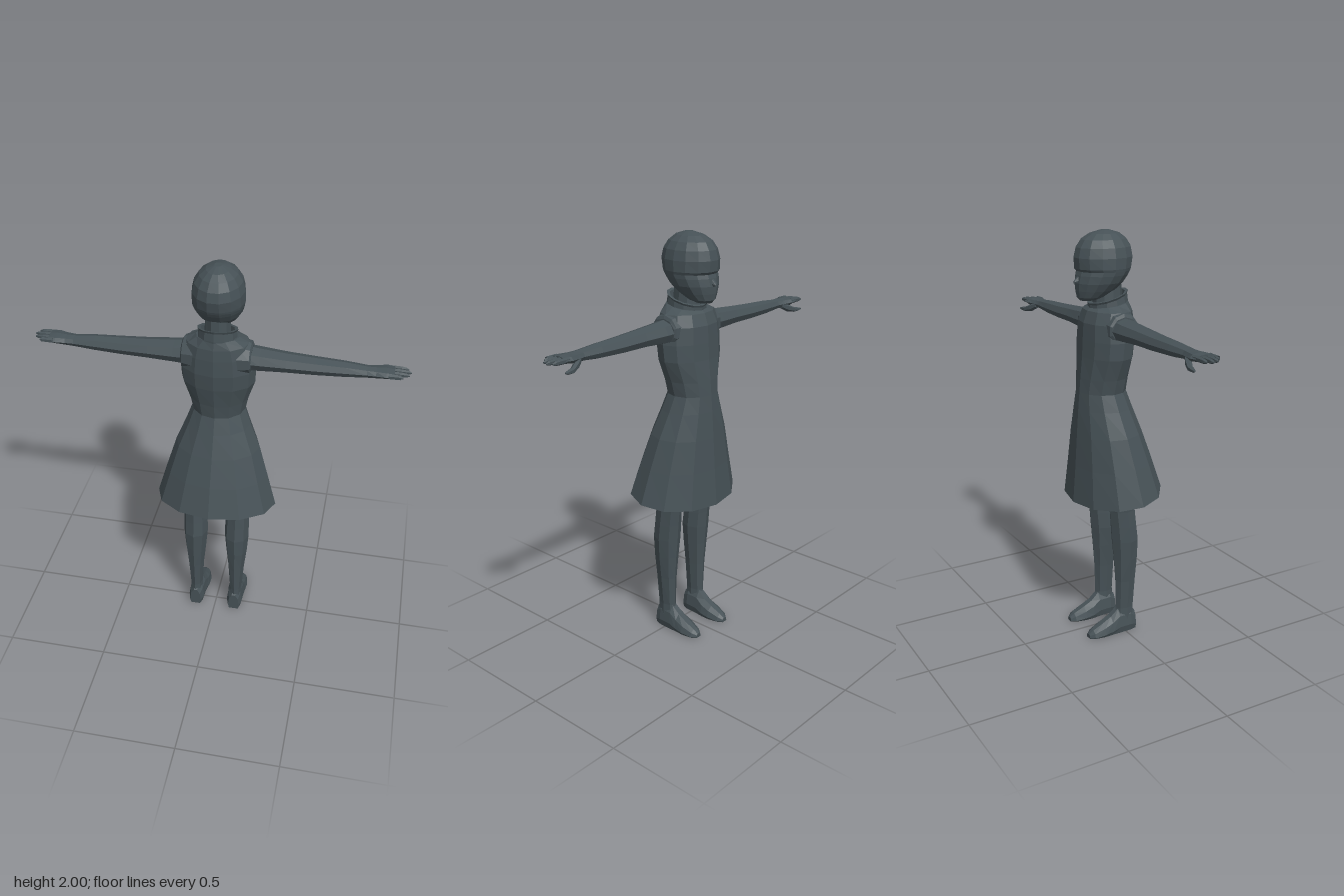
import * as THREE from 'three';

// Skin of elliptical rings stacked along an axis, flat shaded.
// Each ring is [t, uMin, uMax, vMin, vMax, slope]; slope tilts the ring along v.
// Axis y uses (u,v) = (x,z), axis x uses (y,z), axis z uses (x,y).
function loft(rings, axis, sides, { mirror = 1, capStart = true, capEnd = true } = {}) {
  const place = (t, u, v) => {
    const p = axis === 'y' ? [u, t, v] : axis === 'x' ? [t, u, v] : [u, v, t];
    return new THREE.Vector3(p[0] * mirror, p[1], p[2]);
  };
  const rows = rings.map(([t, u0, u1, v0, v1, slope = 0]) => {
    const row = [];
    for (let j = 0; j < sides; j++) {
      const a = (j / sides) * Math.PI * 2;
      const v = (v0 + v1) / 2 + ((v1 - v0) / 2) * Math.sin(a);
      row.push(place(t + slope * v, (u0 + u1) / 2 + ((u1 - u0) / 2) * Math.cos(a), v));
    }
    return row;
  });
  const flip = (axis === 'y') !== (mirror < 0);
  const points = [];
  const tri = (a, b, c) => points.push(...(flip ? [a, c, b] : [a, b, c]));
  const centre = (row) => row.reduce((s, p) => s.add(p), new THREE.Vector3()).divideScalar(sides);
  const first = rows[0], last = rows[rows.length - 1];
  const c0 = centre(first), c1 = centre(last);
  for (let j = 0; j < sides; j++) {
    const k = (j + 1) % sides;
    for (let i = 0; i < rows.length - 1; i++) {
      tri(rows[i][j], rows[i][k], rows[i + 1][k]);
      tri(rows[i][j], rows[i + 1][k], rows[i + 1][j]);
    }
    if (capStart) tri(c0, first[k], first[j]);
    if (capEnd) tri(c1, last[j], last[k]);
  }
  const geometry = new THREE.BufferGeometry().setFromPoints(points);
  geometry.computeVertexNormals();
  return geometry;
}

export function createModel() {
  const group = new THREE.Group();
  const slate = new THREE.MeshStandardMaterial({ color: 0x465156, side: THREE.DoubleSide });
  slate.name = 'dark slate';
  const add = (name, geometry, parent = group) => {
    const mesh = new THREE.Mesh(geometry, slate);
    mesh.name = name;
    parent.add(mesh);
  };

  // Dress: inner skirt, tilted hem, then up the outside to the shoulders
  add('dress', loft([
    [1.05, -0.17, 0.17, -0.16, 0.1],
    [0.755, -0.275, 0.275, -0.2, 0.195, 0.14],
    [0.728, -0.285, 0.285, -0.208, 0.205, 0.14],
    [0.733, -0.3, 0.3, -0.22, 0.217, 0.14],
    [0.9, -0.252, 0.252, -0.206, 0.17, 0.08],
    [1.05, -0.207, 0.207, -0.196, 0.122, 0.04],
    [1.17, -0.157, 0.157, -0.187, 0.08],
    [1.25, -0.128, 0.128, -0.18, 0.052],
    [1.32, -0.142, 0.142, -0.174, 0.06],
    [1.42, -0.174, 0.174, -0.164, 0.077],
    [1.5, -0.178, 0.178, -0.16, 0.085],
    [1.58, -0.168, 0.168, -0.155, 0.083],
    [1.635, -0.148, 0.148, -0.135, 0.078],
    [1.665, -0.1, 0.1, -0.118, 0.068, 0.15],
  ], 'y', 12, { capStart: false }));

  // Standing collar, higher at the back
  add('collar', loft([
    [1.64, -0.1, 0.1, -0.122, 0.07, 0.25],
    [1.66, -0.092, 0.092, -0.12, 0.07, 0.25],
    [1.695, -0.088, 0.088, -0.12, 0.066, 0.3],
    [1.705, -0.094, 0.094, -0.124, 0.07, 0.3],
    [1.704, -0.078, 0.078, -0.108, 0.056, 0.3],
    [1.65, -0.075, 0.075, -0.1, 0.05, 0.3],
  ], 'y', 12, { capStart: false, capEnd: false }));

  add('neck', loft([
    [1.6, -0.065, 0.065, -0.1, 0.045],
    [1.78, -0.056, 0.056, -0.1, 0.04],
  ], 'y', 10));

  // Head: chin, jaw, cheeks, brow step and rounded skull
  add('head', loft([
    [1.685, -0.032, 0.032, -0.17, -0.09],
    [1.7, -0.06, 0.06, -0.183, -0.05],
    [1.73, -0.083, 0.083, -0.188, 0.005],
    [1.765, -0.104, 0.104, -0.19, 0.045],
    [1.8, -0.115, 0.115, -0.184, 0.07],
    [1.818, -0.118, 0.118, -0.178, 0.08],
    [1.83, -0.121, 0.121, -0.189, 0.085],
    [1.88, -0.12, 0.12, -0.193, 0.095],
    [1.925, -0.109, 0.109, -0.182, 0.086],
    [1.96, -0.087, 0.087, -0.158, 0.063],
    [1.985, -0.056, 0.056, -0.118, 0.03],
    [2.0, -0.018, 0.018, -0.06, -0.02],
  ], 'y', 14));

  add('nose', loft([
    [-0.202, -0.006, 0.006, 1.765, 1.777],
    [-0.17, -0.016, 0.016, 1.757, 1.81],
  ], 'z', 6));

  for (const [side, mirror] of [['left', 1], ['right', -1]]) {
    const arm = new THREE.Group();
    arm.name = side + 'Arm';
    const leg = new THREE.Group();
    leg.name = side + 'Leg';
    group.add(arm, leg);
    const opt = { mirror };

    // Armhole edge of the dress
    add('armhole', loft([
      [0.1, 1.47, 1.65, -0.115, 0.06],
      [0.155, 1.485, 1.635, -0.105, 0.05],
      [0.162, 1.5, 1.62, -0.095, 0.04],
    ], 'x', 10, opt), arm);

    // Arm tapering to the wrist, then the palm
    add('arm', loft([
      [0.12, 1.5, 1.62, -0.095, 0.042],
      [0.2, 1.506, 1.61, -0.092, 0.038],
      [0.32, 1.512, 1.6, -0.082, 0.032],
      [0.45, 1.513, 1.592, -0.077, 0.024],
      [0.58, 1.518, 1.586, -0.07, 0.016],
      [0.68, 1.527, 1.577, -0.062, 0.01],
      [0.72, 1.53, 1.576, -0.07, 0.012],
      [0.765, 1.536, 1.577, -0.085, 0.02],
      [0.8, 1.543, 1.574, -0.08, 0.02],
    ], 'x', 8, opt), arm);

    // Four fingers, front to back: centre z and tip x
    [[-0.066, 0.862], [-0.041, 0.875], [-0.015, 0.867], [0.01, 0.84]].forEach(([z, tip], i) => {
      add('finger' + (i + 1), loft([
        [0.775, 1.546, 1.572, z - 0.012, z + 0.012],
        [0.83, 1.547, 1.571, z - 0.011, z + 0.011],
        [tip - 0.015, 1.548, 1.568, z - 0.009, z + 0.009],
        [tip, 1.553, 1.561, z - 0.003, z + 0.003],
      ], 'x', 6, opt), arm);
    });

    add('thumb', loft([
      [0.705, 1.53, 1.56, -0.068, -0.035],
      [0.735, 1.512, 1.55, -0.085, -0.05],
      [0.775, 1.505, 1.531, -0.1, -0.072],
      [0.805, 1.507, 1.525, -0.102, -0.082],
      [0.822, 1.513, 1.521, -0.1, -0.092],
    ], 'x', 6, opt), arm);

    // Leg from ankle to hip, with calf and knee
    add('leg', loft([
      [0.04, 0.07, 0.142, -0.05, 0.06],
      [0.13, 0.075, 0.139, -0.042, 0.058],
      [0.28, 0.066, 0.15, -0.045, 0.066],
      [0.4, 0.054, 0.163, -0.053, 0.074],
      [0.5, 0.045, 0.17, -0.062, 0.078],
      [0.58, 0.047, 0.169, -0.068, 0.068],
      [0.66, 0.052, 0.166, -0.076, 0.06],
      [0.74, 0.048, 0.17, -0.093, 0.065],
      [0.95, 0.03, 0.17, -0.12, 0.07],
    ], 'y', 8, opt), leg);

    // Shoe: sole profile widening from the toe, flattened on the ground
    const shoe = loft([
      [-0.197, 0.085, 0.12, -0.012, 0.022],
      [-0.175, 0.067, 0.14, -0.03, 0.042],
      [-0.12, 0.054, 0.15, -0.04, 0.07],
      [-0.075, 0.054, 0.148, -0.05, 0.094],
      [-0.035, 0.06, 0.147, -0.06, 0.13],
      [0.03, 0.063, 0.145, -0.06, 0.13],
      [0.062, 0.075, 0.135, -0.05, 0.1],
    ], 'z', 10, opt);
    const p = shoe.attributes.position;
    for (let i = 0; i < p.count; i++) p.setY(i, Math.max(0, p.getY(i)));
    shoe.computeVertexNormals();
    add('shoe', shoe, leg);
  }
  return group;
}
